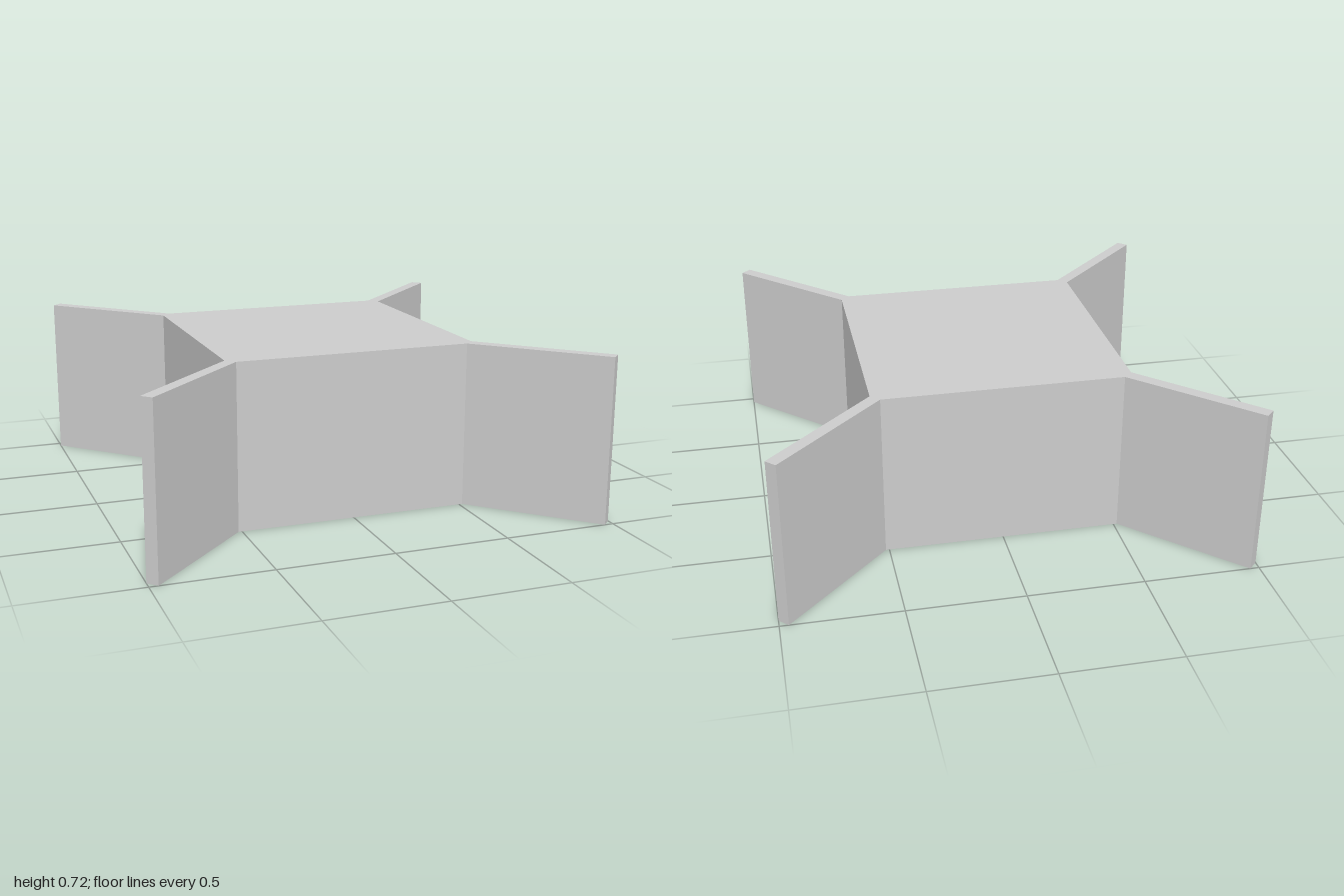
import * as THREE from 'three';
import { toCreasedNormals } from 'three/addons/utils/BufferGeometryUtils.js';

const HEIGHT = 0.724;   // overall height
const HALF = 0.553;     // half width of the square body
const FIN = 0.038;      // fin thickness measured along an axis
const WALL = 0.054;     // body wall thickness
const CEILING = 0.01;   // thickness of the closed top
const RADIUS = 0.055;   // inner corner radius

const material = new THREE.MeshStandardMaterial({ color: 0xcccccc });

// Square body outline with a diagonal fin leaving each corner
function outlineShape() {
  const corner = [
    [HALF, HALF - FIN],
    [1, 1 - FIN],
    [1 - FIN, 1],
    [HALF - FIN, HALF],
  ];
  const points = [];
  for (let i = 0; i < 4; i++) {
    for (const [x, y] of corner) {
      points.push(new THREE.Vector2(x, y).rotateAround(new THREE.Vector2(), i * Math.PI / 2));
    }
  }
  return new THREE.Shape(points);
}

// Rounded square of the hollow inside
function cavityPoints() {
  const c = HALF - WALL - RADIUS;
  const shape = new THREE.Shape();
  for (let i = 0; i < 4; i++) {
    const a = i * Math.PI / 2;
    const centre = new THREE.Vector2(c, c).rotateAround(new THREE.Vector2(), a);
    shape.absarc(centre.x, centre.y, RADIUS, a, a + Math.PI / 2, false);
  }
  return shape.getPoints(8);
}

// Upright prism from a plan shape, with its underside at the given height
function prism(name, shape, bottom, height) {
  const extruded = new THREE.ExtrudeGeometry(shape, { depth: height, bevelEnabled: false, curveSegments: 8 });
  extruded.rotateX(-Math.PI / 2);
  extruded.translate(0, bottom, 0);
  const mesh = new THREE.Mesh(toCreasedNormals(extruded, Math.PI / 6), material);
  mesh.name = name;
  return mesh;
}

export function createModel() {
  const group = new THREE.Group();
  group.name = 'finnedCover';

  // Walls and corner fins, hollow through the middle
  const outline = outlineShape();
  outline.holes.push(new THREE.Path(cavityPoints().reverse()));
  group.add(prism('wallsAndFins', outline, 0, HEIGHT));

  // Thin panel closing the top of the hollow
  group.add(prism('topPanel', new THREE.Shape(cavityPoints()), HEIGHT - CEILING, CEILING));

  return group;
}
